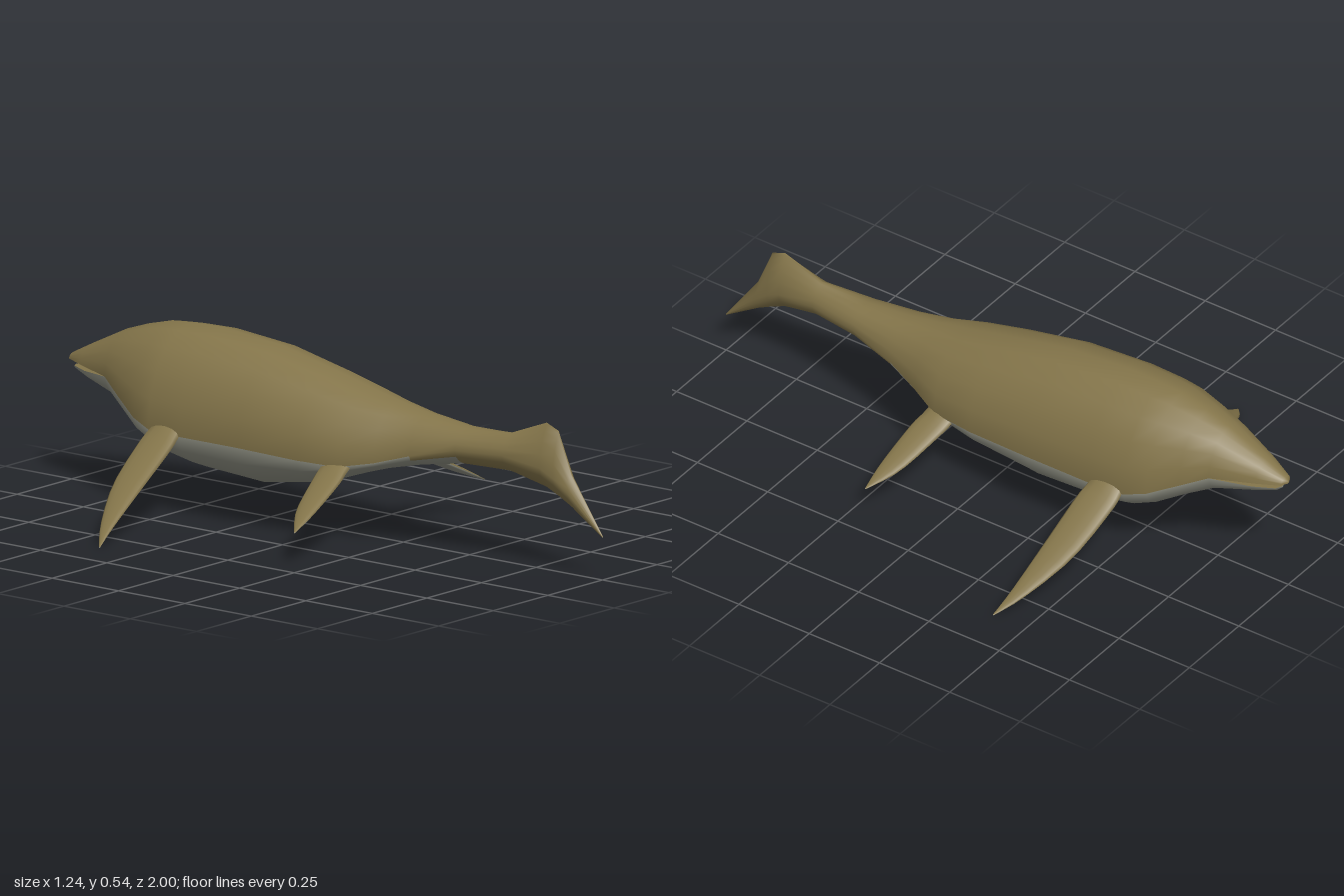
import * as THREE from 'three';
import { mergeVertices } from 'three/addons/utils/BufferGeometryUtils.js';

const olive = new THREE.MeshStandardMaterial({ color: 0x84754a, side: THREE.DoubleSide });
olive.name = 'olive skin';
const grey = new THREE.MeshStandardMaterial({ color: 0x8f9083, side: THREE.DoubleSide });
grey.name = 'grey belly';

// Skins a list of equal-length rows of points; colourOf gives 0, 1 or -1 (no face)
function skin(name, rows, closed, colourOf) {
  const n = rows[0].length;
  const faces = [[], []];
  for (let i = 0; i < rows.length - 1; i++) {
    for (let j = 0; j < (closed ? n : n - 1); j++) {
      const k = colourOf(i, j);
      if (k < 0) continue;
      const a = i * n + j, b = i * n + (j + 1) % n;
      faces[k].push(a, b, a + n, b, b + n, a + n);
    }
  }
  let geo = new THREE.BufferGeometry();
  geo.setAttribute('position', new THREE.Float32BufferAttribute(rows.flat(2), 3));
  geo.setIndex([...faces[0], ...faces[1]]);
  geo = mergeVertices(geo, 1e-4);
  geo.clearGroups();
  geo.addGroup(0, faces[0].length, 0);
  geo.addGroup(faces[0].length, faces[1].length, 1);
  geo.computeVertexNormals();
  const mesh = new THREE.Mesh(geo, [olive, grey]);
  mesh.name = name;
  return mesh;
}

// Body stations: z, top, side line, bottom, half width
const MOUTH = -0.79;
const BODY = [
  [-1.00, 0.374, 0.367, 0.343, 0.004],
  [-0.99, 0.384, 0.367, 0.336, 0.024],
  [-0.92, 0.42, 0.365, 0.317, 0.057],
  [MOUTH, 0.483, 0.358, 0.284, 0.105],
  [-0.71, 0.51, 0.32, 0.245, 0.143],
  [-0.62, 0.533, 0.275, 0.19, 0.18],
  [-0.55, 0.538, 0.254, 0.16, 0.198],
  [-0.43, 0.541, 0.25, 0.13, 0.203],
  [-0.21, 0.521, 0.25, 0.115, 0.203],
  [0.00, 0.476, 0.242, 0.15, 0.19],
  [0.14, 0.443, 0.24, 0.198, 0.172],
  [0.24, 0.422, 0.258, 0.228, 0.128],
  [0.35, 0.402, 0.29, 0.252, 0.096],
  [0.50, 0.385, 0.325, 0.275, 0.07],
  [0.66, 0.391, 0.33, 0.275, 0.049],
  [0.79, 0.44, 0.31, 0.248, 0.035],
  [0.835, 0.422, 0.285, 0.228, 0.029],
  [0.885, 0.298, 0.245, 0.202, 0.022],
  [1.00, 0.132, 0.13, 0.128, 0.002],
];
const UP = 10, LOW = 8;

function bodyRow([z, top, mid, bottom, w]) {
  const row = [];
  // Sections pinch to a thin blade around the tail fin
  const sharp = 1 + 1.2 * Math.max(0, 1 - Math.abs(z - 0.79) / 0.3);
  const point = (t, height, y0, zz, width) => {
    const c = Math.cos(t);
    row.push([Math.sign(c) * Math.abs(c) ** sharp * width, y0 + height * Math.sin(t), zz]);
  };
  for (let j = 0; j <= UP; j++) point(Math.PI * j / UP, top - mid, mid, z, w);
  // Ahead of the mouth corner the lower jaw drops away and is slightly shorter
  const open = Math.max(0, (MOUTH - z) / (1 + MOUTH));
  const lip = mid - 0.018 * Math.min(1, open * 1.5);
  for (let j = 0; j <= LOW; j++)
    point(Math.PI * (1 + j / LOW), lip - bottom, lip, z + 0.02 * open, w * (open ? 0.96 : 1));
  return row;
}

// Flipper stations: x, leading z, trailing z, thickness
const FRONT = [
  [0.12, -0.54, -0.43, 0.05],
  [0.20, -0.546, -0.43, 0.044],
  [0.25, -0.545, -0.42, 0.031],
  [0.40, -0.515, -0.408, 0.024],
  [0.54, -0.446, -0.396, 0.015],
  [0.618, -0.388, -0.384, 0.003],
];
const REAR = [
  [0.10, 0.06, 0.165, 0.044],
  [0.17, 0.076, 0.176, 0.038],
  [0.22, 0.089, 0.189, 0.026],
  [0.35, 0.134, 0.202, 0.018],
  [0.435, 0.196, 0.2, 0.003],
];

function flipper(name, stations, rootX, rootY, slope, side) {
  const n = 12, steps = 14;
  // Smooth the outline between its stations
  const outline = new THREE.SplineCurve(stations.map(([x, lead]) => new THREE.Vector2(x, lead)));
  const breadth = new THREE.SplineCurve(stations.map(([, lead, trail, t]) => new THREE.Vector2(trail - lead, t)));
  const rows = Array.from({ length: steps + 1 }, (_, i) => {
    const { x, y: lead } = outline.getPoint(i / steps);
    const { x: chord, y: thick } = breadth.getPoint(i / steps);
    const y = rootY + slope * (x - rootX);
    return Array.from({ length: n }, (_, j) => {
      const t = 2 * Math.PI * j / n;
      return [side * x, y + Math.sin(t) * thick / 2, lead + (1 - Math.cos(t)) * chord / 2];
    });
  });
  if (side < 0) rows.reverse();
  return skin(name, rows, true, (i, j) => (j < n / 2 ? 0 : 1));
}

export function createModel() {
  const group = new THREE.Group();
  group.name = 'marine reptile';

  // Body, head and tail in one skin; the grey belly narrows out along the tail
  const rows = BODY.map(bodyRow);
  group.add(skin('body', rows, false, (i, j) => {
    if (j < UP) return 0;
    if (j === UP) return -1;
    const fromMiddle = Math.abs(j - UP - 1 - (LOW - 1) / 2);
    return fromMiddle < 4 * (0.6 - BODY[i][0]) / 0.36 ? 1 : 0;
  }));

  // Flat inner faces of the open mouth
  const mouth = rows.slice(0, BODY.findIndex((s) => s[0] === MOUTH) + 1);
  group.add(skin('palate', mouth.map((r) => [r[UP], r[0]]), false, () => 0));
  group.add(skin('mouthFloor', mouth.map((r) => [r[UP + 1 + LOW], r[UP + 1]]), false, () => 0));

  // Paired flippers
  for (const [label, side] of [['left', 1], ['right', -1]]) {
    group.add(flipper(label + 'FrontFlipper', FRONT, 0.2, 0.25, -0.592, side));
    group.add(flipper(label + 'RearFlipper', REAR, 0.17, 0.228, -0.48, side));
  }
  return group;
}
